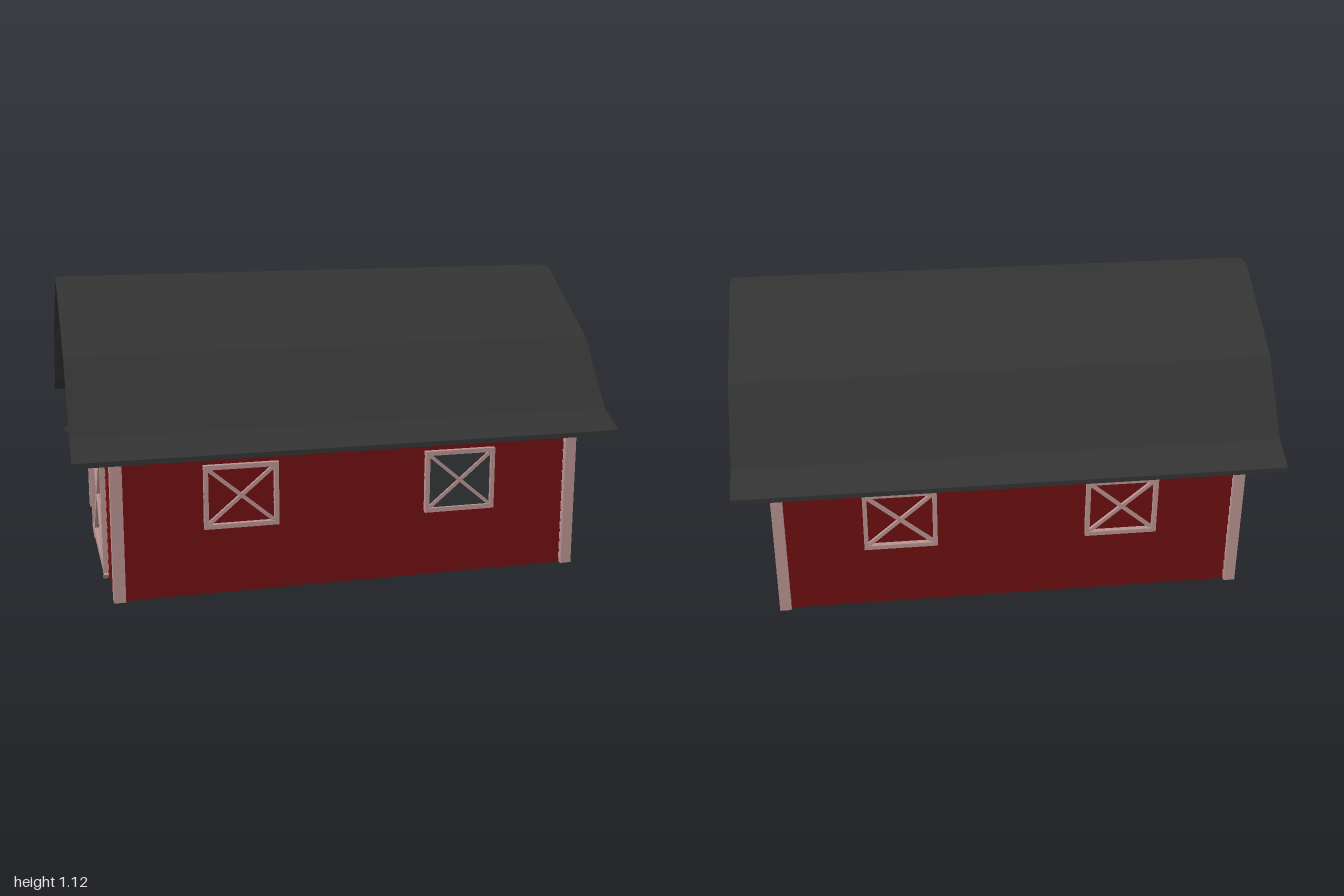
import * as THREE from 'three';

const mat = (name, color) => Object.assign(new THREE.MeshStandardMaterial({ color }), { name });

export function createModel() {
  const red = mat('barn red', 0x650d0e);
  const trim = mat('pale trim', 0xb89391);
  const roofing = mat('charcoal roofing', 0x343434);
  const dark = mat('dark boards', 0x333838);
  const barn = new THREE.Group();
  barn.name = 'barn';

  const add = (parent, name, geometry, material) => {
    const mesh = new THREE.Mesh(geometry, material);
    mesh.name = name;
    parent.add(mesh);
    return mesh;
  };
  const box = (parent, name, size, pos, material) => {
    const mesh = add(parent, name, new THREE.BoxGeometry(...size), material);
    mesh.position.set(...pos);
    return mesh;
  };
  const group = (name, parent = barn) => {
    const g = new THREE.Group();
    g.name = name;
    parent.add(g);
    return g;
  };
  // Prism along x from a symmetric outline given as its +z half
  const prismX = (outline, x0, x1) => {
    const g = new THREE.ExtrudeGeometry(
      new THREE.Shape(outline.map(([z, y]) => new THREE.Vector2(z, y))),
      { depth: x1 - x0, bevelEnabled: false });
    return g.rotateY(Math.PI / 2).translate(x0, 0, 0);
  };
  const mirrored = half => half.map(([z, y]) => [-z, y]).reverse();

  // Gambrel roof: one bent shell with flared eaves and a flat ridge
  const outer = [[0.7, 0.575], [0.59, 0.635], [0.403, 0.885], [0.042, 1.122]];
  const inner = [[0.7, 0.557], [0.59, 0.612], [0.392, 0.868], [0.035, 1.1]];
  add(barn, 'roof', prismX(
    [...outer, ...mirrored(outer), ...mirrored(inner).reverse(), ...inner.slice().reverse()], -1, 1), roofing);

  // Half width of the gable at a given height
  const halfWidth = y => {
    for (let i = 3; i > 1; i--) {
      const [za, ya] = inner[i], [zb, yb] = inner[i - 1];
      if (y >= yb) return THREE.MathUtils.lerp(zb, za, Math.min(1, (y - yb) / (ya - yb)));
    }
    return 0.59;
  };

  // Leaning board facing +x, its lower edge further out
  const board = (y0, y1, out, lean, thick, width) => {
    const g = new THREE.BoxGeometry(1, 1, 1);
    const p = g.attributes.position;
    for (let i = 0; i < p.count; i++) {
      const up = p.getY(i) > 0;
      const y = up ? y1 : y0;
      p.setXYZ(i, out - (up ? lean : 0) - (p.getX(i) < 0 ? thick : 0), y, Math.sign(p.getZ(i)) * width(y));
    }
    g.computeVertexNormals();
    return g;
  };
  const step = 0.0408;

  // Gable ends: dark backing with clapboards set through it
  const gable = [[0.59, 0.04], ...inner.slice(1)];
  for (const side of [1, -1]) {
    const end = group(side > 0 ? 'leftGable' : 'rightGable');
    add(end, 'gableBacking', prismX([...gable, ...mirrored(gable)], 0.843, 0.851), dark);
    for (let i = 0; i < 26; i++) {
      const y = 0.04 + i * step;
      add(end, 'gableBoard', board(y, Math.min(y + step, 1.1), 0.865, 0.016, 0.012, halfWidth), red);
    }
    if (side < 0) end.rotation.y = Math.PI;
  }

  // Long walls: plain inside, clapboards outside, two windows each
  for (const side of [1, -1]) {
    const wall = group(side > 0 ? 'frontWall' : 'backWall');
    box(wall, 'wallBacking', [1.69, 0.57, 0.012], [0, 0.325, 0.588], red);
    const boards = group('wallBoards', wall);
    boards.rotation.y = -Math.PI / 2;
    for (let i = 0; i < 14; i++) {
      const y = 0.04 + i * step;
      add(boards, 'wallBoard', board(y, y + step, 0.604, 0.01, 0.008, () => 0.85), red);
    }
    for (const x of [-0.412, 0.41]) {
      const win = group('window', wall);
      win.position.set(x, 0.4, 0.61);
      for (const s of [-1, 1]) {
        box(win, 'windowStile', [0.016, 0.232, 0.02], [s * 0.127, 0, 0], trim);
        box(win, 'windowRail', [0.238, 0.016, 0.02], [0, s * 0.108, 0], trim);
        box(win, 'windowCross', [0.315, 0.013, 0.012], [0, 0, 0], trim).rotation.z = s * Math.atan2(0.2, 0.238);
      }
      box(win, 'innerPane', [0.25, 0.22, 0.006], [0, 0, -0.03], dark);
      if (side > 0 && x > 0) box(win, 'outerPane', [0.24, 0.21, 0.006], [0, 0, -0.004], dark);
    }
    if (side < 0) wall.rotation.y = Math.PI;
  }

  // Corner trim: two boards meeting in an L
  for (const sx of [1, -1]) for (const sz of [1, -1]) {
    const corner = group('cornerTrim');
    box(corner, 'endTrim', [0.035, 0.565, 0.048], [sx * 0.8545, 0.3225, sz * 0.596], trim);
    box(corner, 'sideTrim', [0.042, 0.565, 0.035], [sx * 0.851, 0.3225, sz * 0.6025], trim);
  }

  // Barn door with crossed braces on the right end
  const door = group('door');
  door.position.set(-0.872, 0.27, 0);
  for (const s of [-1, 1]) {
    box(door, 'doorStile', [0.02, 0.47, 0.03], [0, 0, s * 0.27], trim);
    box(door, 'doorRail', [0.02, 0.03, 0.54], [0, s * 0.22, 0], trim);
    box(door, 'doorBrace', [0.018, 0.03, 0.734], [0.001, 0, 0], trim).rotation.x = s * Math.PI / 4;
  }
  for (let i = 0; i < 6; i++) {
    box(door, 'innerDoorPlank', [0.006, 0.073, 0.54], [0.04, -0.19 + i * 0.076, 0], dark);
  }

  // Gooseneck lamp above the door
  const lamp = group('lamp');
  const neck = new THREE.CatmullRomCurve3([[-0.855, 0.665], [-0.885, 0.69], [-0.92, 0.685], [-0.938, 0.65], [-0.94, 0.57]]
    .map(([x, y]) => new THREE.Vector3(x, y, 0)));
  add(lamp, 'lampNeck', new THREE.TubeGeometry(neck, 16, 0.009, 8), roofing);
  const shade = new THREE.LatheGeometry([[0.055, 0.53], [0.05, 0.54], [0.02, 0.562], [0.013, 0.585], [0, 0.588]]
    .map(([r, y]) => new THREE.Vector2(r, y)), 16);
  const shadeMaterial = mat('lamp metal', 0x2c2e2e);
  shadeMaterial.side = THREE.DoubleSide;
  add(lamp, 'lampShade', shade, shadeMaterial).position.x = -0.94;
  add(lamp, 'lampMount', new THREE.CylinderGeometry(0.022, 0.022, 0.012, 12).rotateZ(Math.PI / 2), roofing)
    .position.set(-0.866, 0.668, 0);

  return barn;
}
